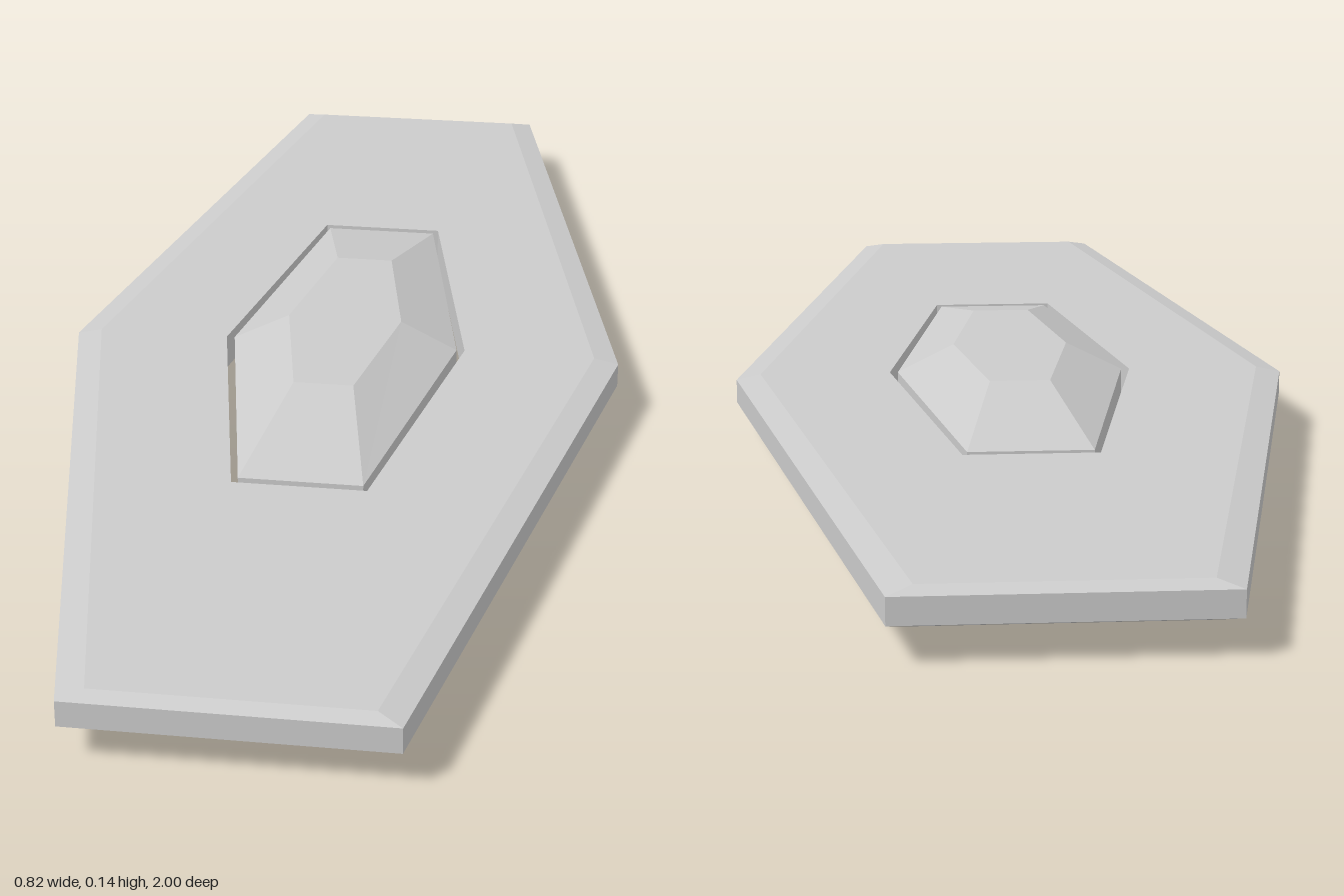
import * as THREE from 'three';

const material = new THREE.MeshStandardMaterial({ color: 0xcccccc, flatShading: true });

// Long hexagon at height y: half width at the middle, half width at the ends, half length
const hexRing = ([middle, end, length, y]) => [
  [middle, y, 0], [end, y, -length], [-end, y, -length],
  [-middle, y, 0], [-end, y, length], [end, y, length],
];

// Skins a run of hexagons; closed joins last to first, otherwise both ends are capped
function loftHexagons(sections, closed) {
  const rings = sections.map(hexRing);
  const positions = [];
  const tri = (a, b, c) => positions.push(...a, ...b, ...c);
  const spans = closed ? rings.length : rings.length - 1;
  for (let r = 0; r < spans; r++) {
    const low = rings[r], high = rings[(r + 1) % rings.length];
    for (let i = 0; i < 6; i++) {
      const j = (i + 1) % 6;
      tri(low[i], low[j], high[j]);
      tri(low[i], high[j], high[i]);
    }
  }
  if (!closed) {
    const first = rings[0], last = rings[rings.length - 1];
    for (let i = 1; i < 5; i++) {
      tri(first[0], first[i + 1], first[i]);
      tri(last[0], last[i], last[i + 1]);
    }
  }
  const geometry = new THREE.BufferGeometry();
  geometry.setAttribute('position', new THREE.Float32BufferAttribute(positions, 3));
  geometry.computeVertexNormals();
  return geometry;
}

export function createModel() {
  const group = new THREE.Group();
  const add = (name, geometry) => {
    const mesh = new THREE.Mesh(geometry, material);
    mesh.name = name;
    group.add(mesh);
    return mesh;
  };

  // Flat plate with bevelled rim and a hexagonal opening
  add('plate', loftHexagons([
    [0.375, 0.174, 0.98, 0.042],
    [0.411, 0.206, 1.0, 0.05],
    [0.411, 0.206, 1.0, 0.085],
    [0.375, 0.174, 0.98, 0.093],
    [0.181, 0.093, 0.455, 0.093],
    [0.181, 0.093, 0.455, 0.042],
  ], true));

  // Faceted gem floating in the opening
  add('gem', loftHexagons([
    [0.085, 0.043, 0.225, 0],
    [0.169, 0.086, 0.442, 0.042],
    [0.169, 0.086, 0.442, 0.093],
    [0.085, 0.043, 0.225, 0.135],
  ], false));

  // Small tabs bridging the gap at the front of the gem
  for (const [x, width] of [[-0.03, 0.028], [0, 0.012], [0.03, 0.028]]) {
    add('bridgeTab', new THREE.BoxGeometry(width, 0.02, 0.02)).position.set(x, 0.0675, 0.449);
  }
  return group;
}
